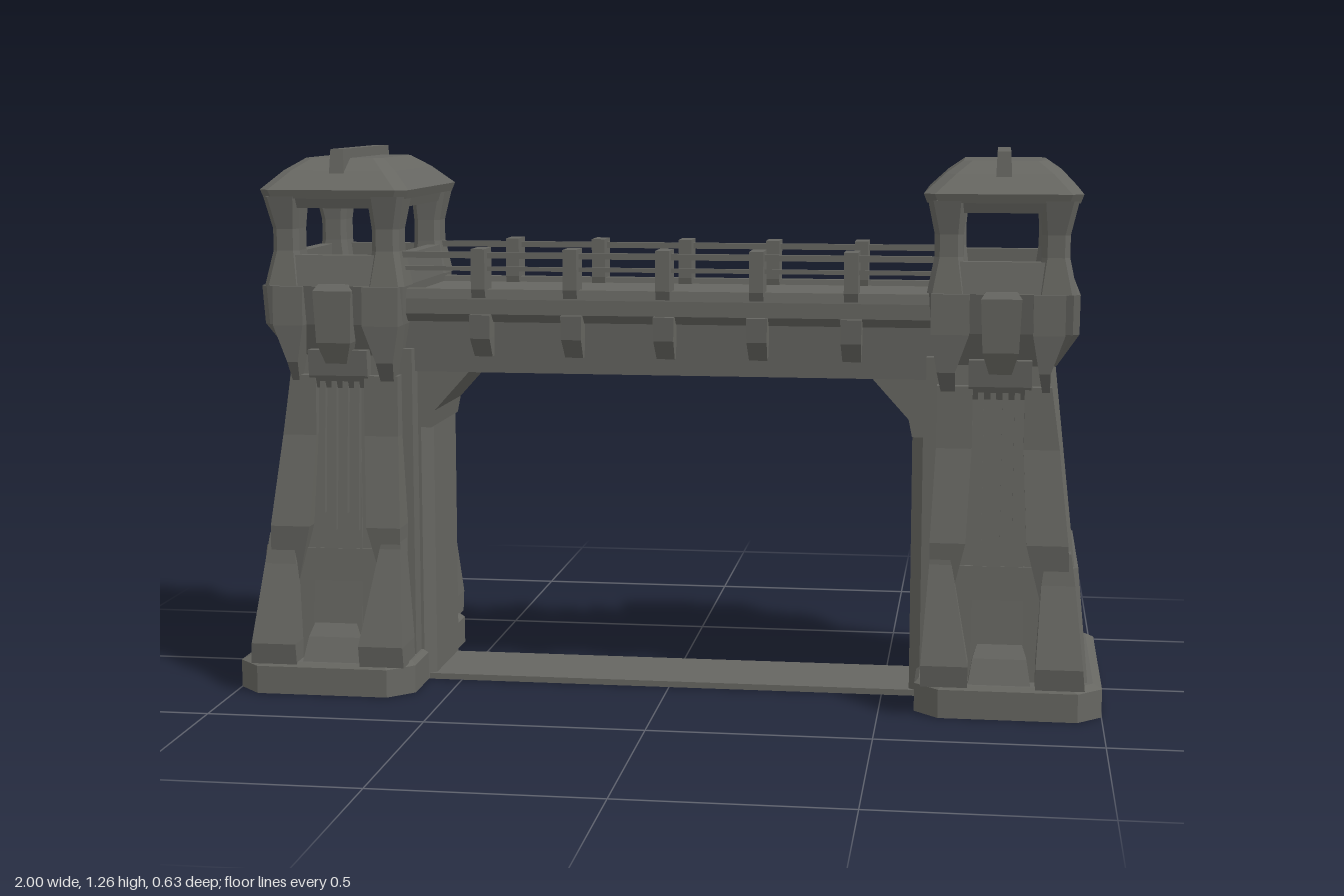
import * as THREE from 'three';

const stone = new THREE.MeshStandardMaterial({ color: 0x666661, flatShading: true });
stone.name = 'darkStone';

// Stack of rectangular sections [y, x0, x1, z0, z1, chamfer], bottom to top
function loft(parent, name, sections) {
  const chamfered = sections[0][5] > 0;
  const rings = sections.map(([y, x0, x1, z0, z1, c = 0]) => (chamfered
    ? [[x1, z1 - c], [x1, z0 + c], [x1 - c, z0], [x0 + c, z0], [x0, z0 + c], [x0, z1 - c], [x0 + c, z1], [x1 - c, z1]]
    : [[x1, z1], [x1, z0], [x0, z0], [x0, z1]]).map(([x, z]) => [x, y, z]));
  const pos = [];
  const tri = (a, b, c) => pos.push(...a, ...b, ...c);
  const n = rings[0].length;
  for (let k = 0; k < rings.length - 1; k++) {
    for (let i = 0; i < n; i++) {
      const j = (i + 1) % n;
      tri(rings[k][i], rings[k][j], rings[k + 1][j]);
      tri(rings[k][i], rings[k + 1][j], rings[k + 1][i]);
    }
  }
  const lo = rings[0], hi = rings[rings.length - 1];
  for (let i = 1; i < n - 1; i++) {
    tri(hi[0], hi[i], hi[i + 1]);
    tri(lo[0], lo[i + 1], lo[i]);
  }
  const geo = new THREE.BufferGeometry();
  geo.setAttribute('position', new THREE.Float32BufferAttribute(pos, 3));
  geo.computeVertexNormals();
  const mesh = new THREE.Mesh(geo, stone);
  mesh.name = name;
  parent.add(mesh);
}

// The same loft on the front and the back
function both(parent, name, sections) {
  loft(parent, name + 'Front', sections);
  loft(parent, name + 'Back', sections.map(([y, x0, x1, z0, z1, c]) => [y, x0, x1, -z1, -z0, c]));
}

function box(parent, name, x0, x1, y0, y1, z0, z1) {
  loft(parent, name, [[y0, x0, x1, z0, z1], [y1, x0, x1, z0, z1]]);
}

function makeTower(name) {
  const t = new THREE.Group();
  t.name = name;

  // Footing and tapered body
  loft(t, 'footing', [[0, 0.58, 1, -0.31, 0.31, 0.055], [0.065, 0.58, 1, -0.31, 0.31, 0.055], [0.075, 0.59, 0.98, -0.3, 0.3, 0.055]]);
  loft(t, 'lowerBody', [[0.07, 0.61, 0.968, -0.255, 0.255, 0.015], [0.335, 0.62, 0.942, -0.237, 0.237, 0.015]]);
  loft(t, 'upperBody', [[0.33, 0.62, 0.934, -0.23, 0.23, 0.015], [0.79, 0.63, 0.882, -0.192, 0.192, 0.015]]);
  loft(t, 'flaredHead', [[0.785, 0.62, 0.884, -0.196, 0.196, 0.01], [0.86, 0.605, 0.932, -0.235, 0.235, 0.015],
    [0.95, 0.6, 0.932, -0.255, 0.255, 0.015]]);

  // Leaning corner buttresses in two steps, the lower ones tapering to shards
  both(t, 'outerButtressFoot', [[0.07, 0.85, 0.96, 0.2, 0.305], [0.12, 0.85, 0.955, 0.2, 0.315], [0.3, 0.86, 0.935, 0.2, 0.262], [0.37, 0.87, 0.925, 0.18, 0.25]]);
  both(t, 'outerButtress', [[0.25, 0.86, 0.925, 0.18, 0.245], [0.39, 0.825, 0.918, 0.18, 0.265], [0.6, 0.815, 0.895, 0.15, 0.225], [0.74, 0.815, 0.875, 0.15, 0.222]]);
  both(t, 'innerButtressFoot', [[0.07, 0.595, 0.7, 0.2, 0.305], [0.12, 0.595, 0.7, 0.2, 0.315], [0.34, 0.61, 0.66, 0.2, 0.258], [0.43, 0.615, 0.635, 0.18, 0.25]]);
  both(t, 'innerButtress', [[0.22, 0.615, 0.65, 0.18, 0.24], [0.39, 0.61, 0.69, 0.18, 0.262], [0.6, 0.62, 0.7, 0.15, 0.225], [0.74, 0.62, 0.7, 0.15, 0.222]]);

  // Central pilaster, grille and capital
  both(t, 'pilasterFoot', [[0.07, 0.7, 0.84, 0.2, 0.295], [0.13, 0.71, 0.83, 0.2, 0.27], [0.16, 0.72, 0.82, 0.2, 0.25]]);
  both(t, 'pilaster', [[0.07, 0.705, 0.825, 0.15, 0.258], [0.38, 0.708, 0.818, 0.15, 0.232], [0.76, 0.715, 0.81, 0.15, 0.2]]);
  for (let i = 0; i < 4; i++) {
    const x = 0.712 + i * 0.027, y = i % 2 ? 0.42 : 0.38;
    both(t, 'grilleBar' + i, [[y, x, x + 0.013, 0.2, 0.245], [0.73, x, x + 0.013, 0.17, 0.218]]);
  }
  both(t, 'grilleLintel', [[0.71, 0.69, 0.83, 0.17, 0.21], [0.74, 0.69, 0.83, 0.17, 0.225], [0.8, 0.69, 0.83, 0.17, 0.232]]);
  both(t, 'capital', [[0.77, 0.735, 0.785, 0.18, 0.24], [0.82, 0.72, 0.8, 0.18, 0.262], [0.94, 0.715, 0.805, 0.18, 0.268], [0.955, 0.725, 0.795, 0.18, 0.255]]);

  // Corbels under the lookout corners
  for (const [side, a, b] of [['inner', 0.605, 0.69], ['outer', 0.83, 0.9]]) {
    both(t, side + 'Corbel', [[0.72, a + 0.025, b - 0.03, 0.16, 0.215], [0.775, a + 0.015, b - 0.03, 0.18, 0.262], [0.86, a, b, 0.2, 0.268], [0.95, a, b, 0.2, 0.265]]);
  }

  // Lookout floor, parapet walls, waisted posts and lintels
  box(t, 'lookoutFloor', 0.61, 0.915, 0.94, 0.965, -0.24, 0.24);
  both(t, 'parapet', [[0.95, 0.63, 0.89, 0.205, 0.25], [1.02, 0.63, 0.89, 0.205, 0.235]]);
  loft(t, 'outerParapet', [[0.95, 0.88, 0.925, -0.2, 0.2], [1.02, 0.88, 0.91, -0.2, 0.2]]);
  loft(t, 'innerParapet', [[0.95, 0.6, 0.645, -0.2, 0.2], [1.02, 0.61, 0.64, -0.2, 0.2]]);
  both(t, 'outerPost', [[0.95, 0.835, 0.925, 0.15, 0.252, 0.012], [1.03, 0.846, 0.908, 0.157, 0.236, 0.012],
    [1.08, 0.846, 0.908, 0.157, 0.236, 0.012], [1.155, 0.84, 0.925, 0.152, 0.252, 0.012]]);
  both(t, 'innerPost', [[0.95, 0.595, 0.685, 0.15, 0.252, 0.012], [1.03, 0.61, 0.674, 0.157, 0.236, 0.012],
    [1.08, 0.61, 0.674, 0.157, 0.236, 0.012], [1.155, 0.595, 0.68, 0.152, 0.252, 0.012]]);
  both(t, 'lintel', [[1.128, 0.63, 0.89, 0.2, 0.238], [1.16, 0.62, 0.9, 0.2, 0.25]]);
  loft(t, 'outerLintel', [[1.128, 0.87, 0.91, -0.2, 0.2], [1.16, 0.87, 0.92, -0.2, 0.2]]);
  loft(t, 'innerLintel', [[1.128, 0.61, 0.645, -0.2, 0.2], [1.16, 0.6, 0.645, -0.2, 0.2]]);

  // Hipped roof with a ridge beam
  loft(t, 'roof', [[1.15, 0.592, 0.928, -0.25, 0.25, 0.025], [1.17, 0.585, 0.935, -0.256, 0.256, 0.025],
    [1.212, 0.63, 0.895, -0.2, 0.2, 0.025], [1.24, 0.67, 0.855, -0.145, 0.145, 0.02]]);
  loft(t, 'roofRidge', [[1.19, 0.742, 0.778, -0.21, 0.21], [1.262, 0.745, 0.775, -0.2, 0.2]]);

  // Gate jamb with a stepped face, and the slanted knee above it
  loft(t, 'gateJamb', [[0, 0.563, 0.66, -0.135, 0.135, 0.025], [0.66, 0.563, 0.66, -0.135, 0.135, 0.025]]);
  box(t, 'jambBacking', 0.595, 0.66, 0.07, 0.8, -0.185, 0.185);
  loft(t, 'gateKnee', [[0.61, 0.563, 0.66, -0.135, 0.135], [0.65, 0.555, 0.66, -0.135, 0.135],
    [0.75, 0.465, 0.66, -0.135, 0.135], [0.78, 0.465, 0.66, -0.135, 0.135]]);
  return t;
}

export function createModel() {
  const gate = new THREE.Group();
  gate.name = 'gatehouse';

  // Twin towers
  const left = makeTower('leftTower');
  const right = makeTower('rightTower');
  right.rotation.y = Math.PI;
  gate.add(left, right);

  // Threshold on the ground
  box(gate, 'threshold', -0.6, 0.6, 0, 0.014, -0.1, 0.125);

  // Bridge beam, ledge and walkway
  const bridge = new THREE.Group();
  bridge.name = 'bridge';
  gate.add(bridge);
  loft(bridge, 'beam', [[0.745, -0.64, 0.64, -0.155, 0.155], [0.9, -0.64, 0.64, -0.165, 0.165]]);
  loft(bridge, 'ledge', [[0.865, -0.64, 0.64, -0.175, 0.175], [0.885, -0.64, 0.64, -0.2, 0.2], [0.93, -0.64, 0.64, -0.2, 0.2]]);
  both(bridge, 'curb', [[0.92, -0.62, 0.62, 0.17, 0.205], [0.943, -0.62, 0.62, 0.175, 0.2]]);

  // Railings
  both(bridge, 'topRail', [[1.014, -0.62, 0.62, 0.186, 0.202], [1.028, -0.62, 0.62, 0.186, 0.202]]);
  both(bridge, 'midRail', [[0.985, -0.62, 0.62, 0.189, 0.2], [0.995, -0.62, 0.62, 0.189, 0.2]]);

  // Railing posts with wedge brackets below them
  for (let i = -2; i <= 2; i++) {
    const x = i * 0.213;
    both(bridge, 'railPost' + (i + 3), [[0.925, x - 0.016, x + 0.016, 0.16, 0.222], [0.945, x - 0.016, x + 0.016, 0.155, 0.23],
      [1.037, x - 0.016, x + 0.016, 0.155, 0.23]]);
    both(bridge, 'bracket' + (i + 3), [[0.785, x - 0.021, x + 0.021, 0.14, 0.175], [0.83, x - 0.023, x + 0.023, 0.14, 0.215],
      [0.885, x - 0.024, x + 0.024, 0.14, 0.22]]);
  }
  return gate;
}
